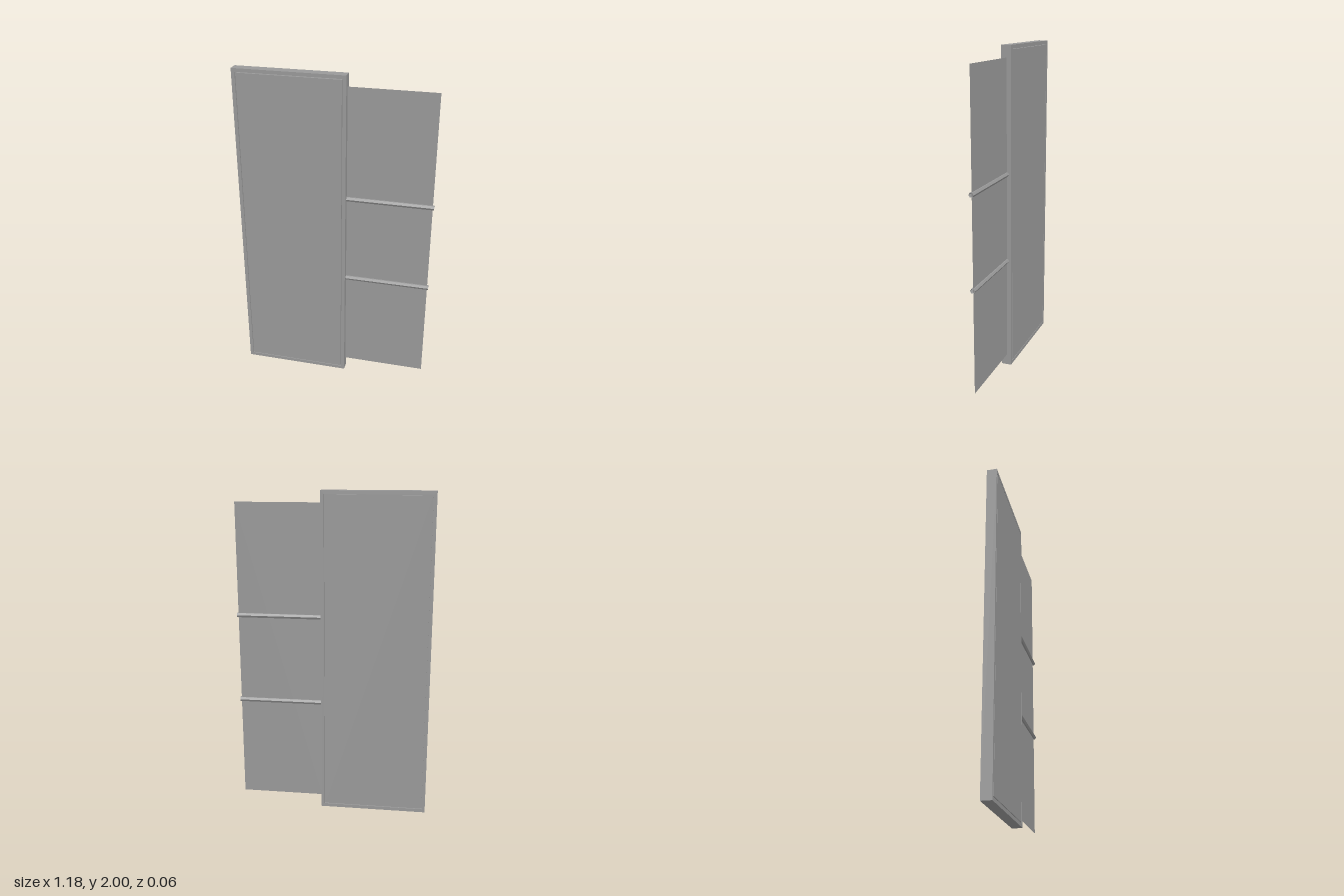
import * as THREE from 'three';

const grey = new THREE.MeshStandardMaterial({ color: 0x9a9a9a });
const thinGrey = new THREE.MeshStandardMaterial({ color: 0x9a9a9a, side: THREE.DoubleSide });
const facetedGrey = new THREE.MeshStandardMaterial({ color: 0x9a9a9a, side: THREE.DoubleSide, flatShading: true });

export function createModel() {
  const model = new THREE.Group();
  const add = (name, geometry, material, x, y, z) => {
    const mesh = new THREE.Mesh(geometry, material);
    mesh.name = name;
    mesh.position.set(x, y, z);
    model.add(mesh);
    return mesh;
  };

  // door: a rim, a flush panel and a narrow groove between them
  const left = -0.592, width = 0.665, height = 2, depth = 0.062, rim = 0.021, gap = 0.004;
  const rect = (Path, inset) => {
    const x0 = left + inset, x1 = left + width - inset, y0 = inset, y1 = height - inset;
    const path = new Path();
    path.moveTo(x0, y0);
    path.lineTo(x1, y0);
    path.lineTo(x1, y1);
    path.lineTo(x0, y1);
    path.closePath();
    return path;
  };
  const frame = rect(THREE.Shape, 0);
  frame.holes.push(rect(THREE.Path, rim));
  add('doorFrame', new THREE.ExtrudeGeometry(frame, { depth, bevelEnabled: false }), grey, 0, 0, -depth / 2);

  const slab = (name, inset, thickness) =>
    add(name, new THREE.BoxGeometry(width - 2 * inset, height - 2 * inset, thickness), grey,
      left + width / 2, height / 2, 0);
  slab('doorPanel', rim + gap, depth);
  slab('grooveFloor', rim, depth - 0.03);

  // thin side sheet
  add('sideSheet', new THREE.PlaneGeometry(0.513, 1.86), thinGrey, 0.3285, 1, -0.004);

  // two open six-sided rods across the sheet
  for (const y of [0.706, 1.251]) {
    const rod = add('crossRod', new THREE.CylinderGeometry(0.015, 0.015, 0.52, 6, 1, true), facetedGrey,
      0.332, y, -0.003);
    rod.rotation.z = Math.PI / 2;
  }

  return model;
}
